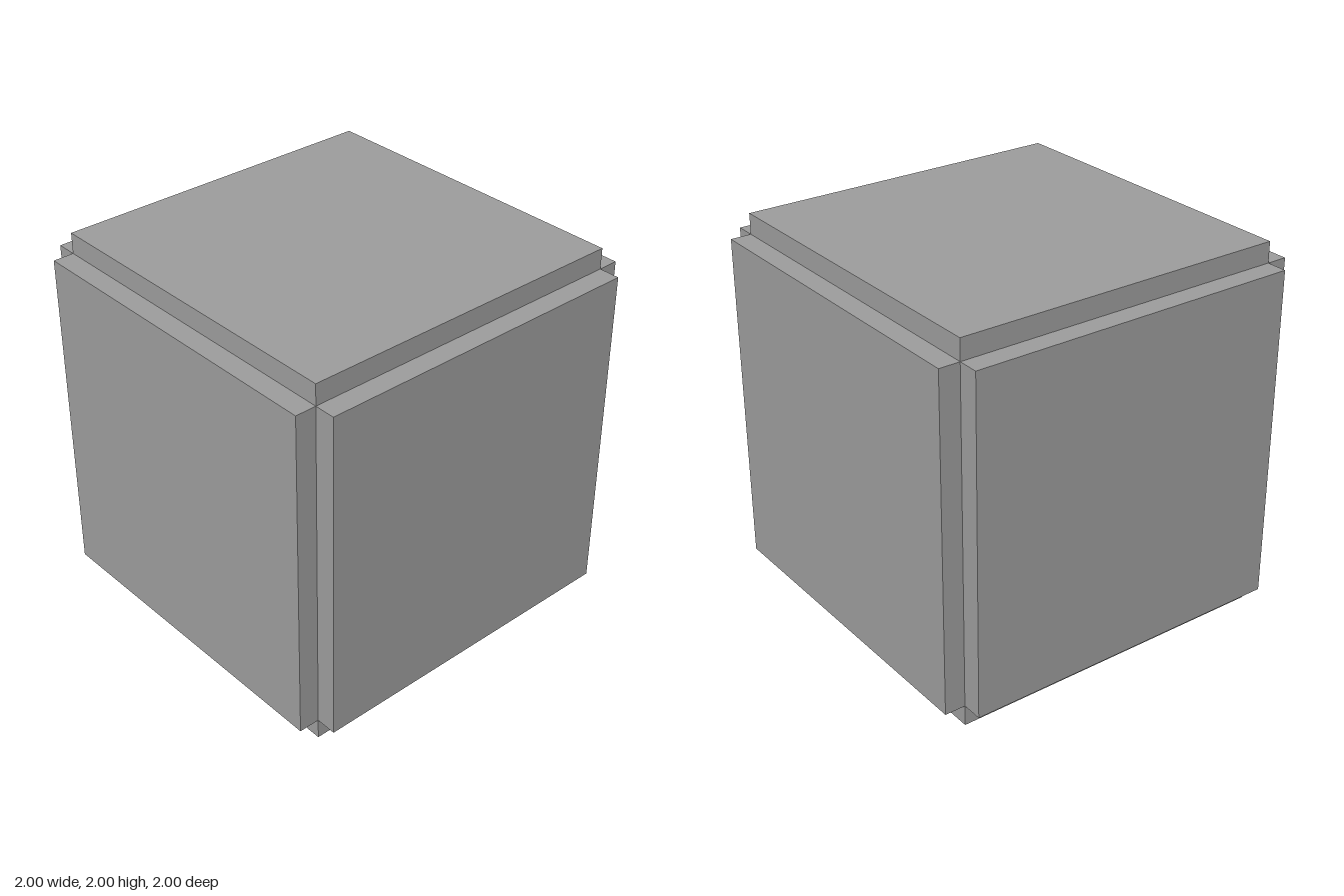
import * as THREE from 'three';

const CORE = 0.89; // half size of the cube the panels rise from
const DEPTH = 0.11; // how far each panel stands out

// Raised square panel: a shallow box without its hidden inner face
function panelGeometry() {
  const geometry = new THREE.BoxGeometry(CORE * 2, DEPTH, CORE * 2);
  const index = Array.from(geometry.index.array);
  index.splice(18, 6); // drop the -y face
  geometry.setIndex(index);
  geometry.clearGroups();
  geometry.translate(0, CORE + DEPTH / 2, 0);
  return geometry;
}

export function createModel() {
  const group = new THREE.Group();
  group.name = 'panelledCube';
  const material = new THREE.MeshStandardMaterial({ color: 0x9c9c9c, flatShading: true });
  const geometry = panelGeometry();
  const quarter = Math.PI / 2;

  // One panel per side, turned from the top; together they close the cube
  const panels = [
    ['topPanel', 0, 0],
    ['bottomPanel', Math.PI, 0],
    ['frontPanel', quarter, 0],
    ['backPanel', -quarter, 0],
    ['leftPanel', 0, -quarter],
    ['rightPanel', 0, quarter],
  ];
  for (const [name, turnX, turnZ] of panels) {
    const panel = new THREE.Mesh(geometry, material);
    panel.name = name;
    panel.rotation.set(turnX, 0, turnZ);
    panel.position.y = 1;
    group.add(panel);
  }
  return group;
}
